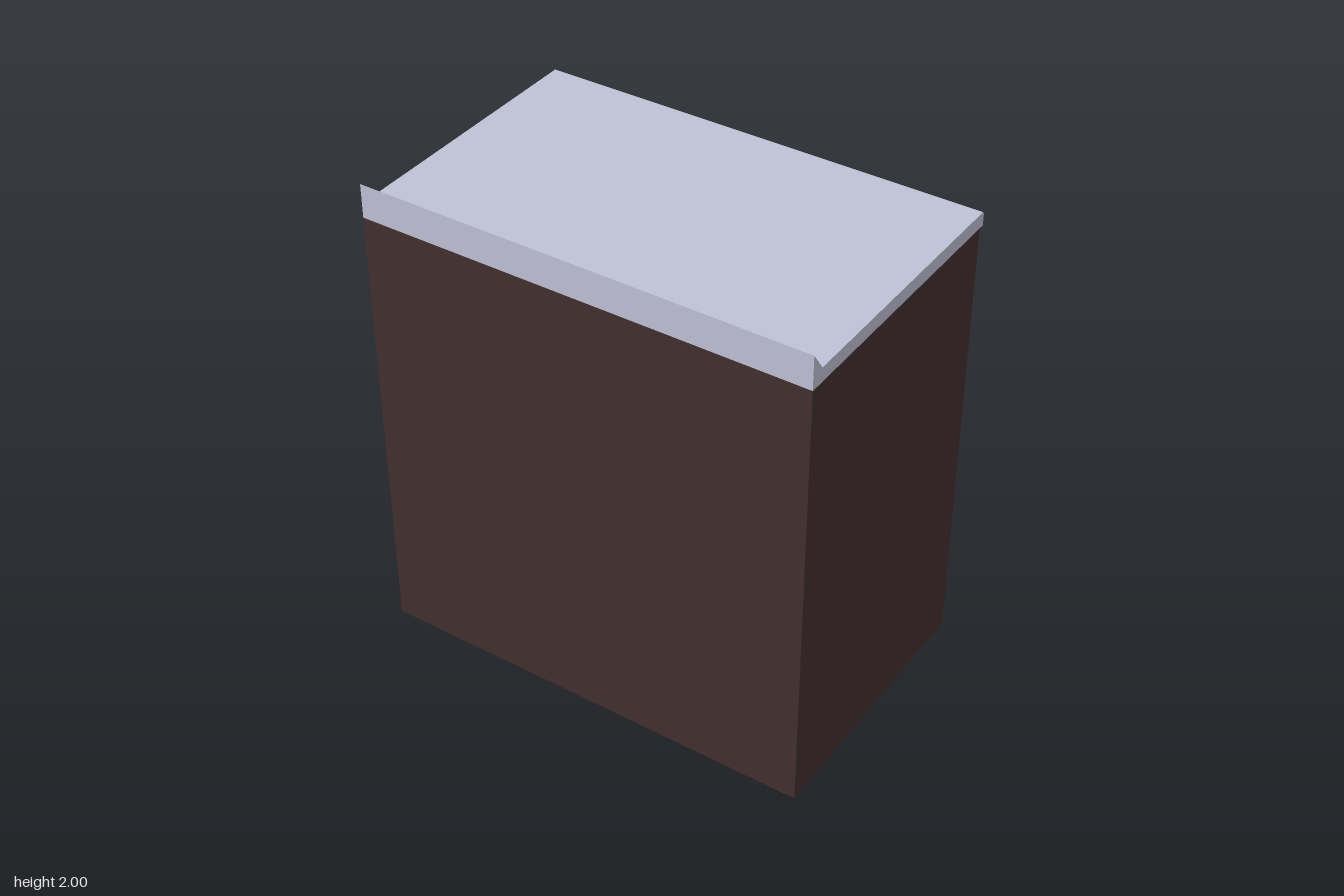
import * as THREE from 'three';

const wood = new THREE.MeshStandardMaterial({ name: 'dark brown wood', color: 0x432e2f });
const pale = new THREE.MeshStandardMaterial({ name: 'pale grey', color: 0xbfc1d6 });

function add(parent, name, geometry, material, x = 0, y = 0, z = 0) {
  const mesh = new THREE.Mesh(geometry, material);
  mesh.name = name;
  mesh.position.set(x, y, z);
  parent.add(mesh);
  return mesh;
}

// Rectangle with slightly rounded corners, centred on the origin
function roundedRect(hw, hh, r) {
  const s = new THREE.Shape();
  s.absarc(hw - r, hh - r, r, 0, Math.PI / 2);
  s.absarc(-hw + r, hh - r, r, Math.PI / 2, Math.PI);
  s.absarc(-hw + r, -hh + r, r, Math.PI, Math.PI * 1.5);
  s.absarc(hw - r, -hh + r, r, Math.PI * 1.5, Math.PI * 2);
  return s;
}

export function createModel() {
  const model = new THREE.Group();
  model.name = 'cabinet';
  const width = 1.836;

  // Cabinet body
  add(model, 'body', new THREE.BoxGeometry(width, 1.86, 1.135), wood, 0, 0.93, 0.0375);

  // Worktop with a sloped upstand, swept across the width as a (z, y) profile
  const profile = new THREE.Shape([
    [-0.553, 1.862], [0.605, 1.862], [0.605, 2], [0.548, 1.92],
    [-0.545, 1.92], [-0.553, 1.912],
  ].map(([z, y]) => new THREE.Vector2(z, y)));
  const topGeometry = new THREE.ExtrudeGeometry(profile, { depth: width, bevelEnabled: false });
  topGeometry.translate(0, 0, -width / 2);
  topGeometry.rotateY(-Math.PI / 2);
  add(model, 'worktop', topGeometry, pale);

  // Two bevelled drawer fronts with bar handles
  const frontGeometry = new THREE.ExtrudeGeometry(roundedRect(0.612, 0.308, 0.025), {
    depth: 0.02, bevelThickness: 0.022, bevelSize: 0.024, bevelSegments: 1, curveSegments: 4,
  });
  const handleGeometry = new THREE.ExtrudeGeometry(roundedRect(0.282, 0.035, 0.006), {
    depth: 0.05, bevelEnabled: false, curveSegments: 3,
  });
  for (const y of [0.512, 1.368]) {
    const drawer = new THREE.Group();
    drawer.name = y < 1 ? 'lowerDrawer' : 'upperDrawer';
    drawer.position.y = y;
    add(drawer, 'drawerFront', frontGeometry, wood, 0, 0, -0.534);
    add(drawer, 'handle', handleGeometry, pale, 0, 0.172, -0.603);
    model.add(drawer);
  }
  return model;
}
